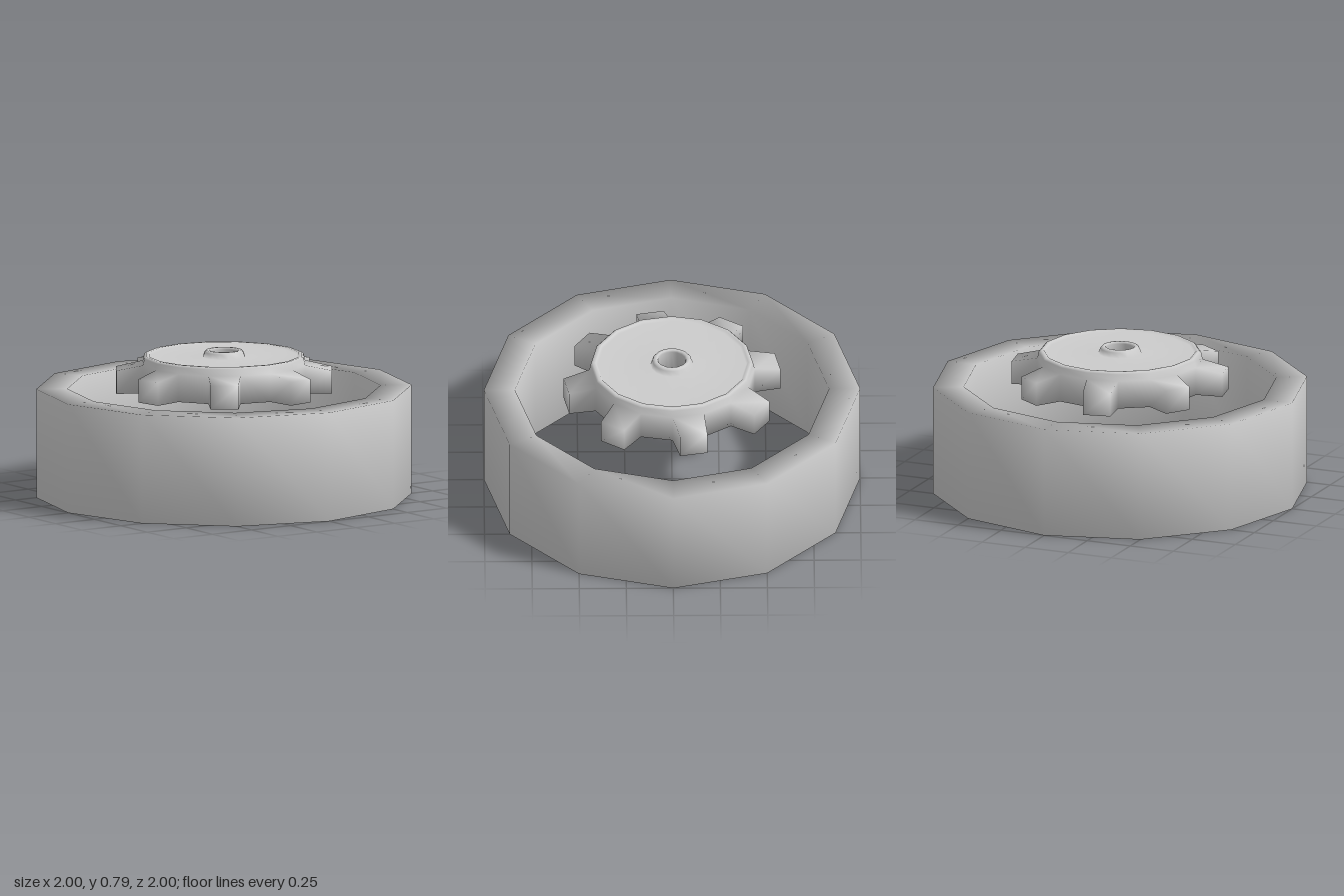
import * as THREE from 'three';
import { mergeGeometries, mergeVertices } from 'three/addons/utils/BufferGeometryUtils.js';

const material = new THREE.MeshStandardMaterial({ color: 0xcccccc });

// Weld shared corners so shading flows over the whole low-poly surface.
function smoothMesh(name, geometries) {
  const merged = mergeGeometries(geometries);
  merged.deleteAttribute('normal');
  merged.deleteAttribute('uv');
  const welded = mergeVertices(merged, 1e-3);
  welded.computeVertexNormals();
  const mesh = new THREE.Mesh(welded, material);
  mesh.name = name;
  return mesh;
}

// Closed [radius, height] profile, counter-clockwise, turned about y.
function turned(profile, sides) {
  const points = [...profile, profile[0]].map(([r, y]) => new THREE.Vector2(r, y));
  return new THREE.LatheGeometry(points, sides);
}

const HUB_SIDES = 16;
const HUB_RADIUS = 0.44;
const HUB_BOTTOM = 0.565;
const WALL_TOP = 0.715;

// Tooth: one wall panel of the hub pulled outwards and narrowed.
function tooth(angle) {
  const half = Math.PI / HUB_SIDES;
  const rootX = HUB_RADIUS * Math.cos(half);
  const rootZ = HUB_RADIUS * Math.sin(half);
  const g = new THREE.BoxGeometry(1, 1, 1);
  const p = g.attributes.position;
  for (let i = 0; i < p.count; i++) {
    const outer = p.getX(i) > 0;
    const top = p.getY(i) > 0;
    p.setXYZ(
      i,
      outer ? 0.573 : rootX,
      top ? (outer ? 0.685 : WALL_TOP) : (outer ? 0.56 : HUB_BOTTOM),
      Math.sign(p.getZ(i)) * (outer ? 0.074 : rootZ)
    );
  }
  // Leave out the hidden root face (the second group of the box).
  const index = Array.from(g.index.array);
  index.splice(6, 6);
  g.setIndex(index);
  g.clearGroups();
  return g.rotateY(-angle);
}

export function createModel() {
  const model = new THREE.Group();

  // Twelve-sided outer ring
  const ring = turned([[0.835, 0], [1, 0], [1, 0.585], [0.835, 0.585]], 12);
  model.add(smoothMesh('outerRing', [ring]));

  // Hub with raised rim, shallow dished top, central collar and through hole
  const hub = turned([
    [0.073, HUB_BOTTOM], [HUB_RADIUS, HUB_BOTTOM], [HUB_RADIUS, WALL_TOP],
    [0.432, 0.75], [0.422, 0.76], [0.405, 0.76], [0.395, 0.748],
    [0.115, 0.748], [0.104, 0.775], [0.095, 0.785], [0.08, 0.785], [0.073, 0.775],
  ], HUB_SIDES);

  // Eight teeth on every second panel
  const teeth = [];
  for (let i = 0; i < 8; i++) {
    teeth.push(tooth(-Math.PI / HUB_SIDES + (i * Math.PI) / 4));
  }
  model.add(smoothMesh('toothedHub', [hub, ...teeth]));

  return model;
}
